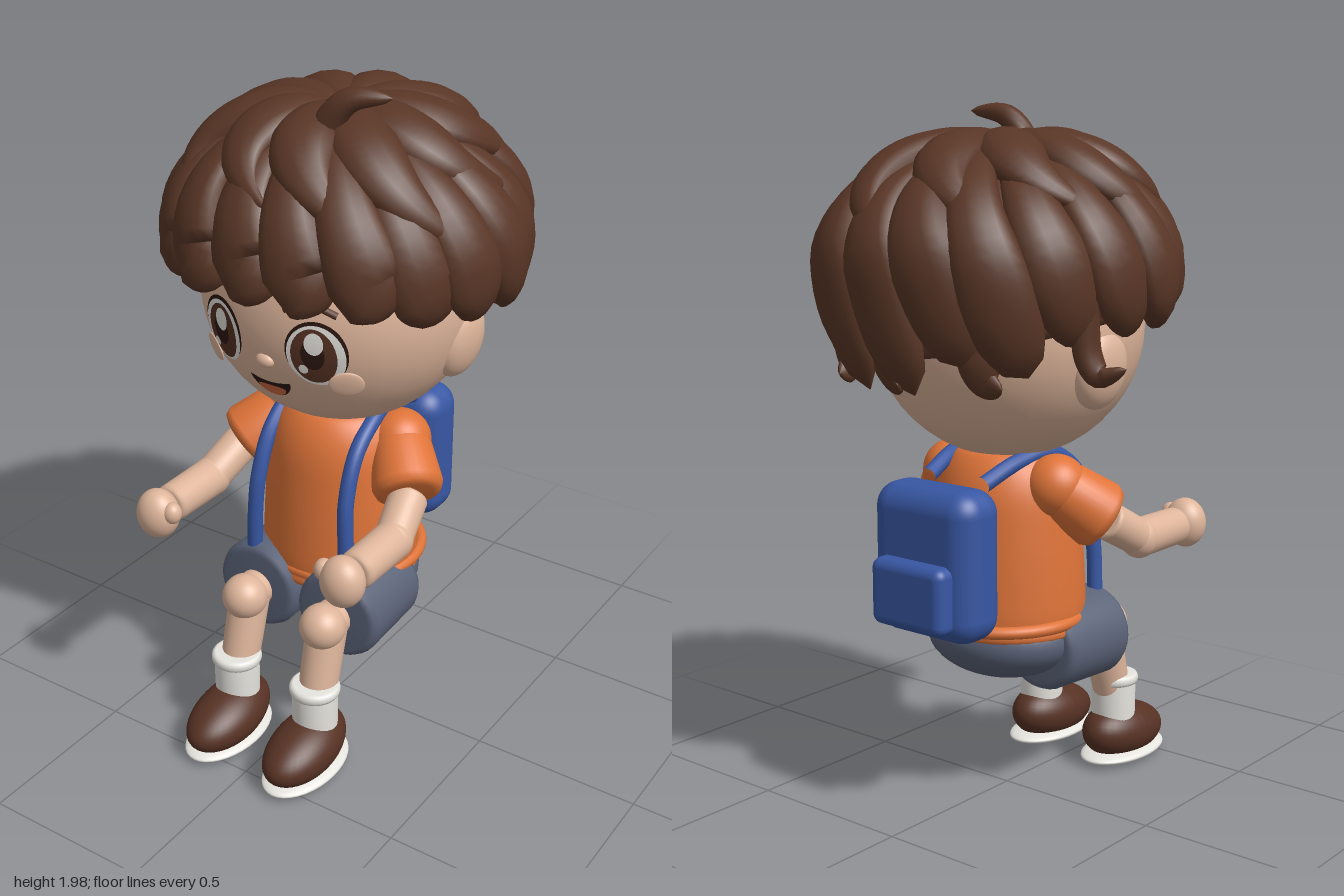
import * as THREE from 'three';
import { RoundedBoxGeometry } from 'three/addons/geometries/RoundedBoxGeometry.js';

const V = (x, y, z) => new THREE.Vector3(x, y, z);
const paint = (name, color) => Object.assign(new THREE.MeshStandardMaterial({ color }), { name });

export function createModel() {
  const model = new THREE.Group();
  model.name = 'boyWithBackpack';
  const skin = paint('skin', 0xdeb59b), hairMat = paint('hairBrown', 0x593626);
  const orange = paint('shirtOrange', 0xdf7439), blue = paint('bagBlue', 0x3857a3);
  const slate = paint('shortsSlate', 0x5b6378), white = paint('white', 0xe6e4de);
  const leather = paint('shoeBrown', 0x573224), dark = paint('darkBrown', 0x2c1710);
  const tongueMat = paint('tongue', 0xd0693f);

  const add = (name, geo, mat, parent = model) => {
    const m = new THREE.Mesh(geo, mat);
    m.name = name;
    parent.add(m);
    return m;
  };
  const ball = (name, p, r, mat, parent) => {
    const m = add(name, new THREE.SphereGeometry(1, 36, 24), mat, parent);
    m.position.set(...p);
    m.scale.set(...r);
    return m;
  };
  // Lathed limb along a line, with softly rounded ends
  const limb = (name, a, b, ra, rb, mat, parent, round = 0.012) => {
    const p = V(...a), d = V(...b).sub(p), L = d.length();
    const pts = [[0, 0], [ra - round, 0], [ra - round * 0.3, round * 0.3], [ra, round],
      [rb, L - round], [rb - round * 0.3, L - round * 0.3], [rb - round, L], [0, L]];
    const m = add(name, new THREE.LatheGeometry(pts.map(q => new THREE.Vector2(...q)), 32), mat, parent);
    m.position.copy(p);
    m.quaternion.setFromUnitVectors(V(0, 1, 0), d.normalize());
    return m;
  };
  const tube = (pts, r, n = 32) => new THREE.TubeGeometry(
    new THREE.CatmullRomCurve3(pts.map(p => V(...p))), n, r, 12);

  // Sweep an elliptical section of changing size along a path
  const heart = V(0, 1.4, -0.04);
  const sweep = (path, width, height, steps = 22, sides = 14) => {
    const pos = [], idx = [];
    for (let i = 0; i <= steps; i++) {
      const t = i / steps, c = path(t);
      const d = path(Math.min(1, t + 0.01)).sub(path(Math.max(0, t - 0.01))).normalize();
      const s = c.clone().sub(heart).cross(d).normalize();
      const n = d.clone().cross(s);
      for (let k = 0; k < sides; k++) {
        const q = k / sides * Math.PI * 2;
        const p = c.clone().addScaledVector(s, Math.cos(q) * width(t)).addScaledVector(n, Math.sin(q) * height(t));
        pos.push(p.x, p.y, p.z);
        if (i === steps) continue;
        const a = i * sides + k, b = i * sides + (k + 1) % sides;
        idx.push(a, b, a + sides, b, b + sides, a + sides);
      }
    }
    const g = new THREE.BufferGeometry();
    g.setAttribute('position', new THREE.Float32BufferAttribute(pos, 3));
    g.setIndex(idx);
    g.computeVertexNormals();
    return g;
  };

  // Head, ears, nose, cheeks
  const HC = V(0, 1.385, 0), HR = V(0.395, 0.382, 0.373);
  const head = new THREE.Group();
  head.name = 'head';
  model.add(head);
  ball('skull', HC.toArray(), HR.toArray(), skin, head);
  ball('nose', [0, 1.285, 0.358], [0.028, 0.021, 0.018], skin, head);
  for (const s of [1, -1]) {
    const ear = ball('ear', [s * 0.352, 1.287, -0.042], [0.058, 0.112, 0.098], skin, head);
    ear.rotation.z = s * -0.12;
    const cheek = ball('cheek', [s * 0.213, 1.245, 0.293], [0.048, 0.04, 0.008], skin, head);
    cheek.lookAt(s * 0.426, 1.15, 0.62);
  }

  // Thin plates that follow the curve of the face
  const plate = (name, x, y, rx, ry, lift, mat, rule = (u, v) => v) => {
    const g = new THREE.RingGeometry(0.001, 1, 36, 5), p = g.attributes.position;
    for (let i = 0; i < p.count; i++) {
      const px = x + p.getX(i) * rx, py = y + rule(p.getX(i), p.getY(i)) * ry;
      const k = 1 - (px / HR.x) ** 2 - ((py - HC.y) / HR.y) ** 2;
      p.setXYZ(i, px, py, HR.z * Math.sqrt(Math.max(0, k)) + lift);
    }
    g.computeVertexNormals();
    return add(name, g, mat, head);
  };
  for (const s of [1, -1]) {
    plate('lashLine', s * 0.149, 1.336, 0.079, 0.092, 0.004, dark);
    plate('eyeWhite', s * 0.149, 1.328, 0.074, 0.09, 0.006, white);
    plate('iris', s * 0.146, 1.328, 0.058, 0.081, 0.008, leather);
    plate('pupil', s * 0.146, 1.335, 0.03, 0.045, 0.01, dark);
    plate('bigGlint', s * 0.146 + 0.006, 1.368, 0.024, 0.032, 0.012, white);
    plate('smallGlint', s * 0.146 - 0.026, 1.29, 0.012, 0.014, 0.012, white);
    add('eyebrow', tube([[s * 0.066, 1.449, 0.362], [s * 0.1, 1.463, 0.353], [s * 0.145, 1.467, 0.338],
      [s * 0.2, 1.444, 0.317]], 0.01, 16), hairMat, head);
  }
  const smile = (u, v) => (v > 0 ? v * 0.15 : v) + 0.35 * u * u;
  plate('mouth', 0, 1.208, 0.064, 0.044, 0.005, dark, smile);
  plate('tongue', 0, 1.192, 0.044, 0.025, 0.008, tongueMat, (u, v) => (v > 0 ? v * 0.5 : v) + 0.15 * u * u);

  // Hair dome: a = direction around the head (0 at the front), t = crown to hem
  const dome = (a, t, grow = 0) => {
    const c = Math.cos(a), yc = 1.535 + 0.025 * c * c, yb = 1.395 + 0.1 * c + 0.055 * c ** 3;
    const f = Math.min(t / 0.72, 1) * Math.PI / 2, u = Math.max(0, (t - 0.72) / 0.28);
    const r = Math.pow(Math.sin(f), 0.93 + 0.1 * Math.sin(a) ** 2) * (1 - 0.08 * u * u);
    const y = u > 0 ? yc - u * (yc - yb) : yc + (1.87 - yc + grow) * Math.pow(Math.max(0, Math.cos(f)), 0.95);
    return V(Math.sin(a) * r * (0.465 + grow), y, c * r * ((c > 0 ? 0.4 : 0.51) + grow));
  };
  const hair = new THREE.Group();
  hair.name = 'hair';
  model.add(hair);
  const cap = new THREE.SphereGeometry(1, 48, 40), cp = cap.attributes.position;
  for (let i = 0; i < cp.count; i++) {
    const a = Math.atan2(cp.getX(i), cp.getZ(i));
    const v = Math.acos(THREE.MathUtils.clamp(cp.getY(i), -1, 1)) / Math.PI;
    const p = dome(a, Math.min(v / 0.8, 1) * 0.92, -0.012);
    const shrink = Math.max(0, (v - 0.8) / 0.2);
    p.x *= 1 - shrink;
    p.z *= 1 - shrink;
    cp.setXYZ(i, p.x, p.y, p.z);
  }
  cap.computeVertexNormals();
  add('hairCap', cap, hairMat, hair);

  // Long outer locks from crown to hem
  const LOCKS = 18;
  for (let i = 0; i < LOCKS; i++) {
    const a0 = (i + 0.3) / LOCKS * Math.PI * 2 - 0.35, end = 0.99 + 0.04 * Math.sin(i * 2.4);
    const full = t => Math.sqrt(Math.max(0.0004, 1 - Math.pow(t, 7)));
    add('outerLock', sweep(t => dome(a0 + 0.4 * t * t, 0.03 + t * (end - 0.03), 0.008 * (i % 3) - 0.006),
      t => (0.012 + 0.1 * Math.min(1, t * 1.35)) * full(t),
      t => (0.012 + 0.046 * Math.min(1, t * 1.5)) * full(t)), hairMat, hair);
  }
  // Pointed, swirled locks on top
  for (let i = 0; i < 10; i++) {
    const a0 = i / 10 * Math.PI * 2 + 0.1, end = 0.57 + 0.06 * Math.sin(i * 1.9);
    const leaf = t => 0.012 + Math.sin(Math.PI * Math.pow(Math.min(t, 1), 0.8));
    add('crownLock', sweep(t => dome(a0 + 0.62 * t * t * t, t * end, 0.02),
      t => 0.09 * leaf(t), t => 0.054 * leaf(t), 26), hairMat, hair);
  }
  // Cowlick and small flicks at the hem
  const wisp = (name, pts, w, h) => {
    const c = new THREE.CatmullRomCurve3(pts.map(p => V(...p)));
    const taper = t => Math.max(0.01, Math.pow(1 - t, 0.6)) * (0.65 + 0.6 * t);
    add(name, sweep(t => c.getPoint(t), t => w * taper(t), t => h * taper(t), 18), hairMat, hair);
  };
  wisp('cowlick', [[0.05, 1.8, 0.18], [0.075, 1.89, 0.17], [0.135, 1.957, 0.16], [0.24, 1.97, 0.13]], 0.062, 0.058);
  wisp('sideFlick', [[-0.42, 1.46, -0.2], [-0.425, 1.34, -0.19], [-0.455, 1.292, -0.18], [-0.527, 1.315, -0.165]], 0.06, 0.045);
  for (const a of [2.5, 3.1, 3.7]) {
    const at = (r, y, k) => [Math.sin(a + k) * r * 0.94, y, Math.cos(a + k) * r];
    wisp('backFlick', [at(0.47, 1.42, 0), at(0.47, 1.33, 0), at(0.465, 1.278, 0.05), at(0.5, 1.265, 0.13)], 0.085, 0.045);
  }

  // Shirt
  const profile = [[0, 0.5], [0.215, 0.5], [0.232, 0.55], [0.23, 0.65], [0.22, 0.8], [0.205, 0.92], [0.17, 1.0], [0.12, 1.035], [0, 1.04]];
  const shirt = add('shirt', new THREE.LatheGeometry(
    new THREE.SplineCurve(profile.map(p => new THREE.Vector2(...p))).getPoints(40), 40), orange);
  shirt.scale.z = 0.95;
  const hem = add('shirtHem', new THREE.TorusGeometry(0.228, 0.018, 12, 48), orange);
  hem.rotation.x = Math.PI / 2;
  hem.position.set(0, 0.545, -0.02);
  limb('neck', [0, 0.98, 0], [0, 1.08, 0], 0.09, 0.09, skin);

  // Shorts seat
  ball('shortsSeat', [0, 0.485, -0.015], [0.235, 0.128, 0.205], slate);

  for (const s of [1, -1]) {
    // Arm
    const arm = new THREE.Group();
    arm.name = s > 0 ? 'leftArm' : 'rightArm';
    model.add(arm);
    const shoulder = [s * 0.19, 0.94, -0.015], cuff = [s * 0.288, 0.838, 0.09];
    const elbow = [s * 0.314, 0.766, 0.215], wrist = [s * 0.314, 0.766, 0.41];
    ball('shoulder', shoulder, [0.09, 0.09, 0.09], orange, arm);
    limb('sleeve', shoulder, cuff, 0.088, 0.101, orange, arm, 0.03);
    limb('upperArm', cuff, elbow, 0.056, 0.054, skin, arm);
    ball('elbow', elbow, [0.057, 0.059, 0.057], skin, arm);
    limb('forearm', elbow, wrist, 0.057, 0.055, skin, arm, 0.015);
    ball('hand', [s * 0.312, 0.765, 0.46], [0.064, 0.074, 0.057], skin, arm);
    ball('thumb', [s * 0.256, 0.785, 0.465], [0.027, 0.032, 0.027], skin, arm);

    // Leg
    const leg = new THREE.Group();
    leg.name = s > 0 ? 'leftLeg' : 'rightLeg';
    model.add(leg);
    limb('shortsLeg', [s * 0.138, 0.462, -0.03], [s * 0.14, 0.46, 0.242], 0.13, 0.137, slate, leg, 0.025);
    const knee = [s * 0.137, 0.46, 0.3], ankle = [s * 0.14, 0.2, 0.345];
    limb('thigh', [s * 0.137, 0.46, 0.18], knee, 0.056, 0.056, skin, leg);
    ball('knee', knee, [0.067, 0.067, 0.067], skin, leg);
    limb('shin', [s * 0.137, 0.46, 0.275], ankle, 0.06, 0.056, skin, leg);
    limb('sock', [s * 0.14, 0.12, 0.345], [s * 0.14, 0.285, 0.345], 0.066, 0.067, white, leg);
    limb('sockCuff', [s * 0.14, 0.258, 0.345], [s * 0.14, 0.292, 0.345], 0.074, 0.074, white, leg);

    // Shoe, rounded at the heel and sloping down to the toe
    const g = new THREE.SphereGeometry(1, 36, 24), p = g.attributes.position;
    for (let i = 0; i < p.count; i++) {
      const z = p.getZ(i);
      p.setXYZ(i, p.getX(i) * 0.096, p.getY(i) * (0.084 - 0.008 * z) - 0.012 * z, z * 0.164);
    }
    g.computeVertexNormals();
    add('shoe', g, leather, leg).position.set(s * 0.138, 0.097, 0.397);
    ball('sole', [s * 0.14, 0.033, 0.395], [0.1, 0.024, 0.17], white, leg);

    // Backpack strap
    add('strap', tube([[s * 0.1, 0.965, -0.225], [s * 0.12, 1.012, -0.1], [s * 0.14, 1.025, 0.02],
      [s * 0.145, 0.95, 0.14], [s * 0.15, 0.82, 0.2], [s * 0.157, 0.7, 0.212], [s * 0.162, 0.57, 0.212]], 0.023, 48), blue);
  }

  // Backpack
  add('backpack', new RoundedBoxGeometry(0.36, 0.425, 0.175, 6, 0.07), blue).position.set(0, 0.755, -0.305);
  add('backpackPocket', new RoundedBoxGeometry(0.26, 0.19, 0.09, 5, 0.03), blue).position.set(0, 0.675, -0.397);

  return model;
}
